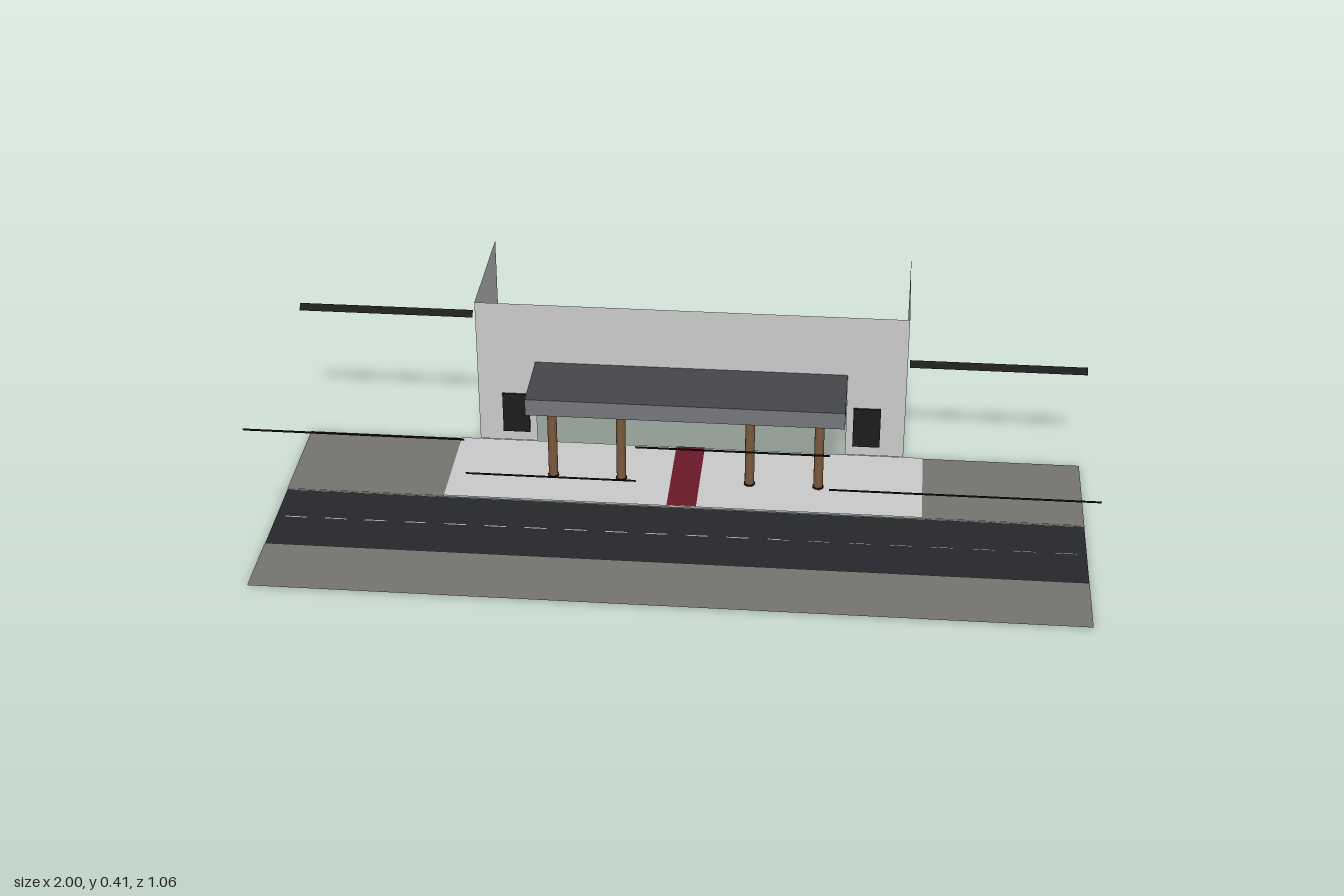
import * as THREE from 'three';

const mat = (color) => new THREE.MeshStandardMaterial({ color, side: THREE.DoubleSide });
const wallMat = mat(0xcccccc), groundMat = mat(0x777570), roadMat = mat(0x26282b);
const black = mat(0x1c1c1c), wood = mat(0x7b5a3c), soffitMat = mat(0x6a4229);
const roofMat = mat(0x46474c), fasciaMat = mat(0x77787d), carpetMat = mat(0x6b1826);
const lineMat = mat(0xa8a89c);

export function createModel() {
  const group = new THREE.Group();

  const add = (name, geometry, material, x = 0, y = 0, z = 0) => {
    const mesh = new THREE.Mesh(geometry, material);
    mesh.name = name;
    mesh.position.set(x, y, z);
    group.add(mesh);
    return mesh;
  };
  // Horizontal sheet between two corners
  const sheet = (name, material, x0, x1, z0, z1, y) =>
    add(name, new THREE.PlaneGeometry(x1 - x0, z1 - z0).rotateX(-Math.PI / 2), material,
      (x0 + x1) / 2, y, (z0 + z1) / 2);

  const back = -0.184, end = 0.53, wallTop = 0.407, base = 0.006;

  // Ground strips, pavement, road and carpet
  sheet('road', roadMat, -1, 1, 0.098, 0.35, 0);
  sheet('frontVerge', groundMat, -1, 1, 0.35, end, 0.003);
  sheet('leftVerge', groundMat, 0.6, 1, back, 0.098, 0.003);
  sheet('rightVerge', groundMat, -1, -0.6, back, 0.098, 0.003);
  sheet('forecourt', wallMat, -0.6, 0.6, back, 0.098, 0.005);
  sheet('carpet', carpetMat, -0.037, 0.037, back, 0.098, 0.007);

  // Centre line of the road
  for (let i = 0; i < 20; i++) {
    const x = -0.95 + i * 0.1;
    sheet('roadDash', lineMat, x - 0.027, x + 0.027, 0.221, 0.225, 0.002);
  }
  for (const z of [0.1, 0.348]) sheet('roadEdgeLine', groundMat, -1, 1, z - 0.002, z + 0.002, 0.002);

  // Front wall with the wide entrance cut out
  const wall = new THREE.Shape([
    [-0.55, base], [-0.4, base], [-0.4, 0.241], [0.4, 0.241], [0.4, base],
    [0.55, base], [0.55, wallTop], [-0.55, wallTop],
  ].map(([x, y]) => new THREE.Vector2(x, y)));
  add('frontWall', new THREE.ShapeGeometry(wall), wallMat, 0, 0, back);

  // Canopy: roof, fascia and soffit, open towards the building
  const low = 0.196, high = 0.241, lip = 0.008;
  const midY = (low + high) / 2, midZ = (back + lip) / 2;
  sheet('canopyRoof', roofMat, -0.4, 0.4, back, lip, high);
  sheet('canopySoffit', soffitMat, -0.4, 0.4, back, lip, low);
  add('canopyFrontFascia', new THREE.PlaneGeometry(0.8, high - low), fasciaMat, 0, midY, lip);

  for (const s of [-1, 1]) {
    const turn = s * Math.PI / 2;
    add('canopySideFascia', new THREE.PlaneGeometry(lip - back, high - low).rotateY(turn),
      fasciaMat, s * 0.4, midY, midZ);
    add('sideWall', new THREE.PlaneGeometry(0.349, wallTop - base).rotateY(turn),
      wallMat, s * 0.55, (wallTop + base) / 2, back - 0.1745);
    add('wallPanel', new THREE.BoxGeometry(0.07, 0.112, 0.005), black, s * 0.453, 0.09, back + 0.003);

    // Canopy posts with dark feet
    for (const x of [0.163, 0.337]) {
      add('post', new THREE.CylinderGeometry(0.012, 0.012, low - 0.004, 16), wood,
        s * x, (low + 0.004) / 2, -0.022);
      add('postFoot', new THREE.CylinderGeometry(0.014, 0.014, 0.005, 16), black, s * x, 0.0065, -0.022);
    }
  }

  // Floating light strips, tilted to face the road
  const strip = (x0, x1, y, z, tilt) =>
    add('lightStrip', new THREE.PlaneGeometry(x1 - x0, 0.02).rotateX(tilt), black, (x0 + x1) / 2, y, z);
  const upper = 0.376, lower = 0.284;
  for (const [x0, x1, y] of [[-1, -0.477, upper], [-0.477, -0.077, lower], [-0.077, 0.373, upper], [0.373, 1, lower]])
    strip(x0, x1, y, 0.43, -Math.PI * 0.75);
  strip(-1, -0.555, upper, -0.18, -Math.PI / 4);
  strip(0.555, 1, lower, -0.18, -Math.PI / 4);

  return group;
}
